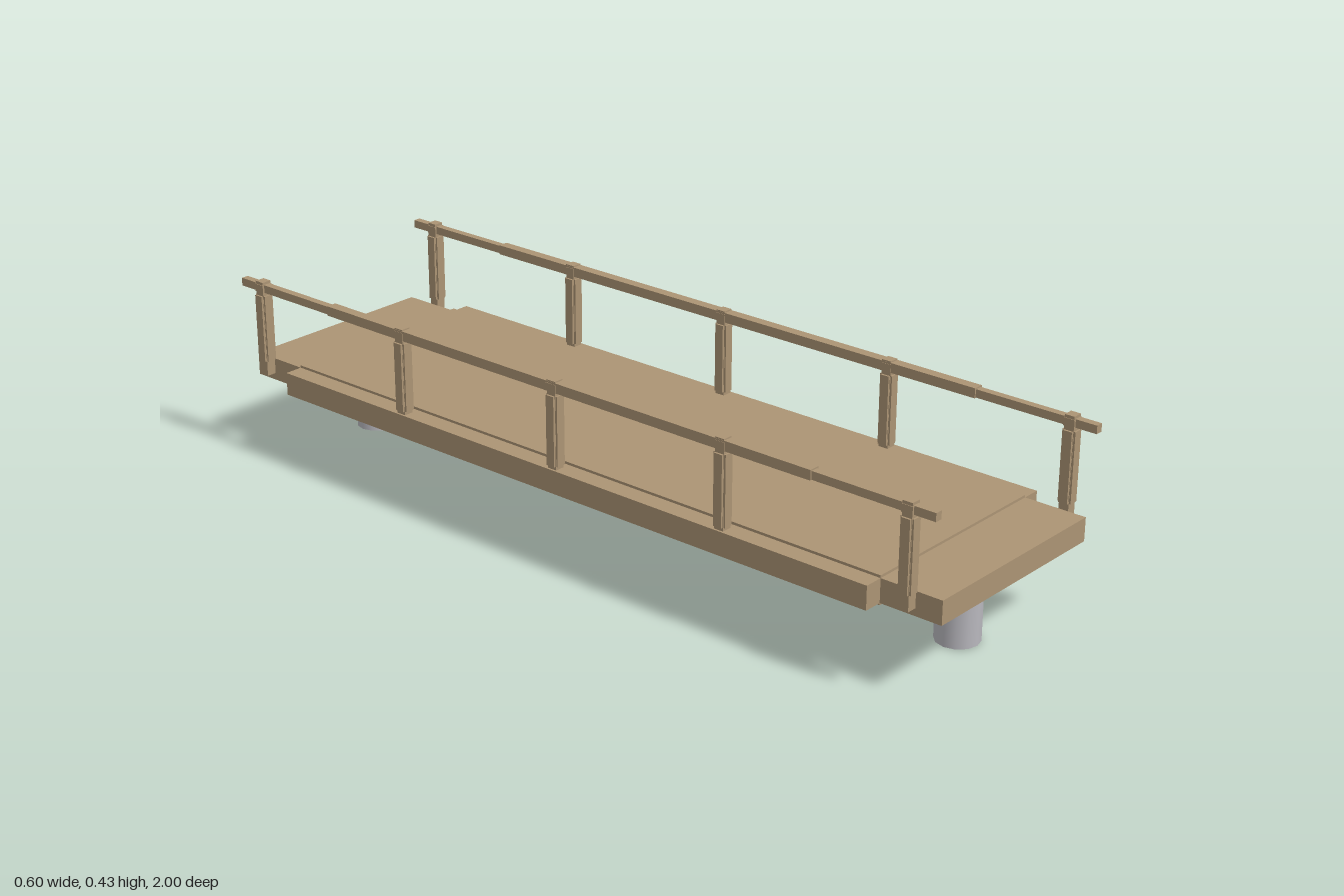
import * as THREE from 'three';

export function createModel() {
  const bridge = new THREE.Group();
  bridge.name = 'footbridge';
  const wood = new THREE.MeshStandardMaterial({ color: 0xac9474 });
  wood.name = 'tan wood';
  const stone = new THREE.MeshStandardMaterial({ color: 0xb9b8be });
  stone.name = 'grey pier';

  // Box given by its centre in x and z, and its bottom and top
  function box(parent, name, w, d, y0, y1, x = 0, z = 0) {
    const mesh = new THREE.Mesh(new THREE.BoxGeometry(w, y1 - y0, d), wood);
    mesh.name = name;
    mesh.position.set(x, (y0 + y1) / 2, z);
    parent.add(mesh);
  }

  // Deck: thick middle panel with thinner edges at the ends and sides
  box(bridge, 'deckPanel', 0.51, 1.7, 0.168, 0.234);
  for (const s of [1, -1]) {
    box(bridge, 'deckEnd', 0.51, 0.15, 0.173, 0.228, 0, s * 0.925);
    box(bridge, 'deckSide', 0.045, 1.7, 0.173, 0.228, s * 0.2775, 0);
  }

  // Round piers under both ends
  for (const s of [1, -1]) {
    const pier = new THREE.Mesh(new THREE.CylinderGeometry(0.05, 0.05, 0.173, 12), stone);
    pier.name = 'pier';
    pier.position.set(0, 0.0865, s * 0.868);
    bridge.add(pier);
  }

  // Railings, mirrored left and right
  for (const s of [1, -1]) {
    const railing = new THREE.Group();
    railing.name = s > 0 ? 'leftRailing' : 'rightRailing';
    railing.position.x = s * 0.283;
    bridge.add(railing);

    box(railing, 'handrailMiddle', 0.025, 1.4, 0.408, 0.431);
    for (const e of [1, -1]) box(railing, 'handrailEnd', 0.018, 0.3, 0.409, 0.428, 0, e * 0.85);

    // Posts: a slim core inside a thicker cross-shaped sleeve
    for (const z of [-0.935, -0.467, 0, 0.467, 0.935]) {
      const post = new THREE.Group();
      post.name = 'post';
      post.position.z = z;
      railing.add(post);
      box(post, 'postCore', 0.024, 0.024, 0.2, 0.434);
      box(post, 'postSleeveWide', 0.034, 0.022, 0.236, 0.4);
      box(post, 'postSleeveDeep', 0.022, 0.032, 0.236, 0.4);
      box(post, 'postCollar', 0.027, 0.027, 0.409, 0.427);
    }
  }
  return bridge;
}
